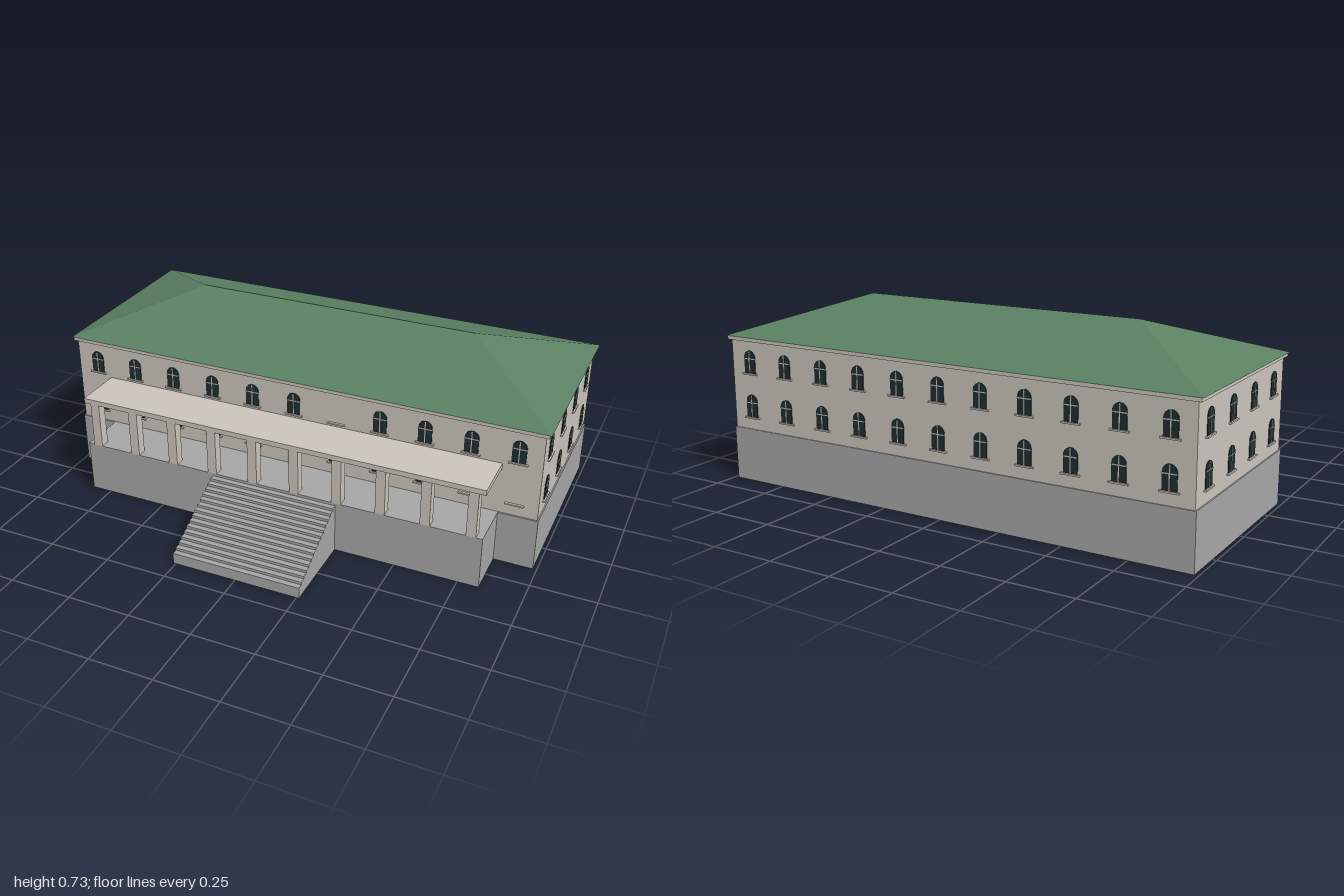
import * as THREE from 'three';

const mat = (name, color, side = THREE.FrontSide) => {
  const m = new THREE.MeshStandardMaterial({ color, side });
  m.name = name;
  return m;
};

export function createModel() {
  const stone = mat('grey stone', 0xa6a6a6, THREE.DoubleSide);
  const plaster = mat('pale plaster', 0xcac4bb);
  const roofGreen = mat('green roof', 0x5a8062, THREE.DoubleSide);
  const glass = mat('dark glass', 0x1f2d30);

  const model = new THREE.Group();
  model.name = 'colonnadedHouse';

  const add = (name, geometry, material, parent = model) => {
    const mesh = new THREE.Mesh(geometry, material);
    mesh.name = name;
    parent.add(mesh);
    return mesh;
  };
  // box given by its limits on each axis
  const boxGeometry = (x0, x1, y0, y1, z0, z1) =>
    new THREE.BoxGeometry(x1 - x0, y1 - y0, z1 - z0)
      .translate((x0 + x1) / 2, (y0 + y1) / 2, (z0 + z1) / 2);
  // the same box without its underside
  const openBoxGeometry = (...limits) => {
    const g = boxGeometry(...limits);
    const index = Array.from(g.index.array);
    index.splice(18, 6);
    g.setIndex(index);
    g.clearGroups();
    return g;
  };

  const zMid = -0.253, floorY = 0.212;
  const wallX = 0.98, wallFront = 0.14, wallBack = -0.647;

  // hollow plinths under house and porch
  add('plinth', openBoxGeometry(-0.985, 0.985, 0, floorY, -0.651, 0.146), stone);
  add('porchPlinth', openBoxGeometry(-0.832, 0.832, 0, floorY, 0.146, 0.337), stone);

  // walls and cornice
  add('walls', boxGeometry(-wallX, wallX, floorY, 0.566, wallBack, wallFront), plaster);
  add('cornice', boxGeometry(-0.993, 0.993, 0.565, 0.58, -0.656, 0.151), plaster);

  // hipped roof: four eave corners and two ridge ends
  const eave = 0.58, ridge = 0.726, zF = 0.153, zB = -0.659;
  const roof = new THREE.BufferGeometry();
  roof.setAttribute('position', new THREE.Float32BufferAttribute([
    -1, eave, zF, 1, eave, zF, 1, eave, zB, -1, eave, zB,
    -0.59, ridge, zMid, 0.59, ridge, zMid,
  ], 3));
  roof.setIndex([0, 1, 5, 0, 5, 4, 2, 3, 4, 2, 4, 5, 1, 2, 5, 3, 0, 4, 0, 3, 2, 0, 2, 1]);
  const roofFlat = roof.toNonIndexed();
  roofFlat.computeVertexNormals();
  add('hippedRoof', roofFlat, roofGreen);

  // porch roof and its row of square columns
  add('porchRoof', boxGeometry(-0.832, 0.832, 0.4, 0.421, wallFront, 0.341), plaster);
  const column = boxGeometry(-0.019, 0.019, floorY, 0.4, 0.298, 0.337);
  for (let i = 0; i < 10; i++) {
    add('porchColumn', column, plaster).position.x = (i - 4.5) * 0.175;
  }

  // stairs: stepped side profile stretched across the width
  const steps = 15, zTop = 0.337, zEnd = 0.665, yLow = 0.045;
  const run = (zEnd - zTop) / steps, rise = (floorY - yLow) / steps;
  const profile = new THREE.Shape();
  profile.moveTo(zTop, 0);
  profile.lineTo(zEnd, 0);
  for (let i = 0; i < steps; i++) {
    profile.lineTo(zEnd - i * run, yLow + i * rise);
    profile.lineTo(zEnd - (i + 1) * run, yLow + i * rise);
  }
  const stairs = new THREE.ExtrudeGeometry(profile, { depth: 0.52, bevelEnabled: false });
  stairs.rotateY(-Math.PI / 2).translate(0.26, 0, 0);
  add('frontStairs', stairs, stone);

  // thin plate with a round arched top, standing on y = 0
  const archPlate = (width, height, depth) => {
    const r = width / 2;
    const s = new THREE.Shape();
    s.moveTo(-r, 0);
    s.lineTo(r, 0);
    s.lineTo(r, height - r);
    s.absarc(0, height - r, r, 0, Math.PI, false);
    s.closePath();
    return new THREE.ExtrudeGeometry(s, { depth, bevelEnabled: false, curveSegments: 8 });
  };
  const pane = archPlate(0.054, 0.09, 0.003);
  const uprightBar = boxGeometry(-0.002, 0.002, 0, 0.088, 0.001, 0.005);
  const crossBar = boxGeometry(-0.027, 0.027, 0.056, 0.06, 0.001, 0.005);
  const sill = boxGeometry(-0.036, 0.036, -0.006, 0, 0, 0.009);

  // one window, or only its sill, facing outward at the given angle
  const addWindow = (x, y, z, angle, glazed = true) => {
    const g = new THREE.Group();
    g.name = glazed ? 'archedWindow' : 'bareSill';
    g.position.set(x, y, z);
    g.rotation.y = angle;
    add('windowSill', sill, plaster, g);
    if (glazed) {
      add('windowPane', pane, glass, g);
      add('uprightBar', uprightBar, plaster, g);
      add('crossBar', crossBar, plaster, g);
    }
    model.add(g);
  };

  // two storeys of windows on all four sides
  [0.262, 0.438].forEach((y, storey) => {
    for (let i = -5; i <= 5; i++) {
      const x = i * 0.178;
      addWindow(x, y, wallBack, Math.PI);
      if (storey === 0 && i === 0) continue; // the door stands here
      const blank = storey === 0 ? i >= 4 : i === 1;
      addWindow(x, y, wallFront, 0, !blank);
    }
    for (let i = 0; i < 4; i++) {
      const z = zMid + (i - 1.5) * 0.197;
      addWindow(wallX, y, z, Math.PI / 2);
      addWindow(-wallX, y, z, -Math.PI / 2);
    }
  });

  // arched front door
  add('frontDoor', archPlate(0.055, 0.13, 0.004), stone).position.set(0, floorY, wallFront);

  return model;
}
